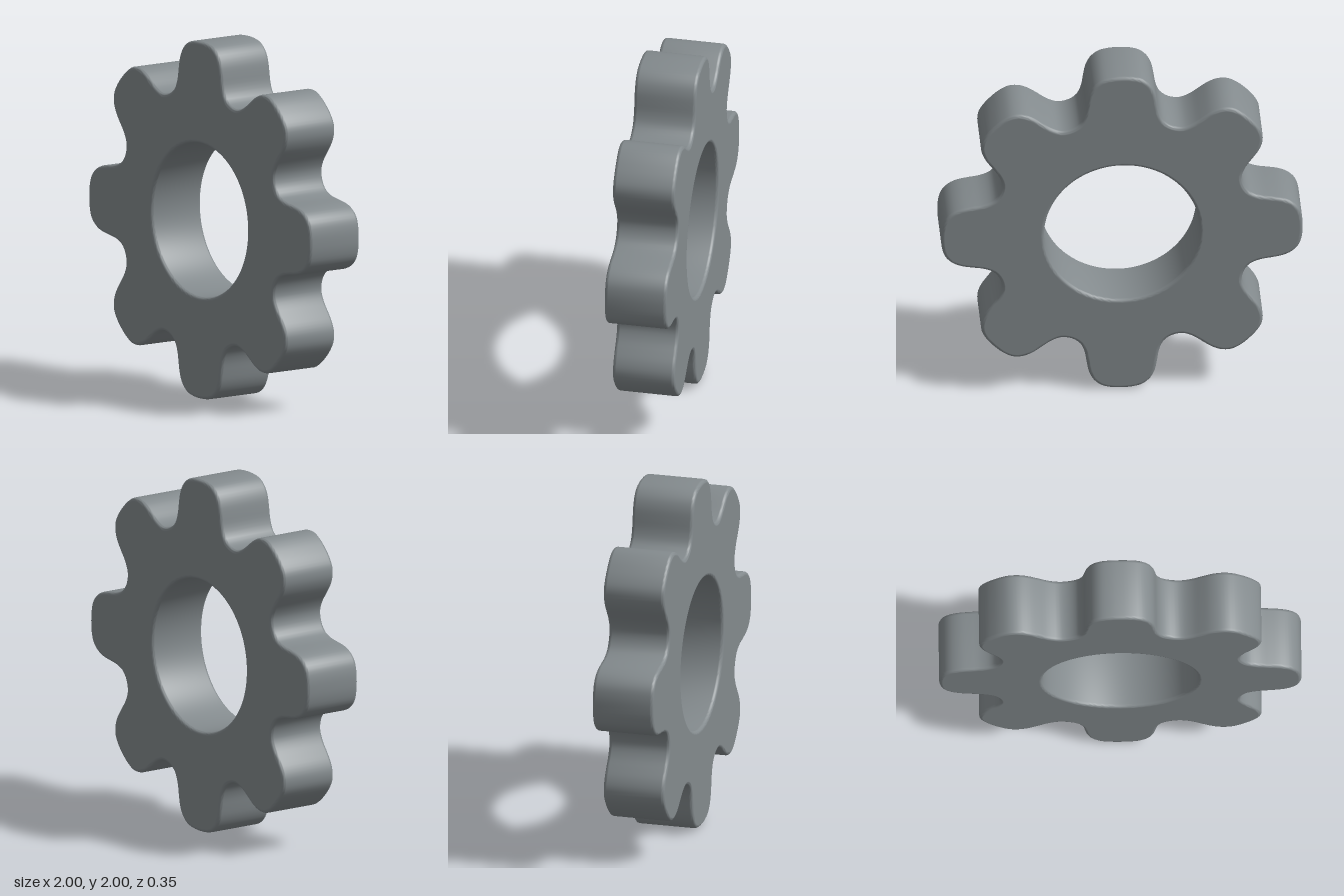
import * as THREE from 'three';
import { toCreasedNormals } from 'three/addons/utils/BufferGeometryUtils.js';

const TEETH = 8;
const THICKNESS = 0.35;
const BEVEL = 0.02;
const HOLE_RADIUS = 0.43;

// One side of a tooth, from the tip to just above the valley: [half width, distance from centre]
const HALF_TOOTH = [
  [0, 1], [0.06, 0.996], [0.115, 0.98], [0.158, 0.942], [0.183, 0.89],
  [0.195, 0.83], [0.206, 0.765], [0.231, 0.708],
];
const VALLEY_RADIUS = 0.729;

// Closed smooth outline, counter-clockwise: mirrored half tooth repeated around the centre
function gearOutline() {
  const half = Math.PI / TEETH;
  const tooth = [
    ...HALF_TOOTH.slice(1).reverse(),
    ...HALF_TOOTH.map(([w, h]) => [-w, h]),
    [-VALLEY_RADIUS * Math.sin(half), VALLEY_RADIUS * Math.cos(half)],
  ];
  const points = [];
  for (let i = 0; i < TEETH; i++) {
    const a = i * 2 * half;
    for (const [w, h] of tooth) {
      points.push(new THREE.Vector3(
        w * Math.cos(a) - h * Math.sin(a), w * Math.sin(a) + h * Math.cos(a), 0));
    }
  }
  const curve = new THREE.CatmullRomCurve3(points, true);
  return curve.getPoints(points.length * 3).slice(0, -1).map((p) => new THREE.Vector2(p.x, p.y));
}

export function createModel() {
  const group = new THREE.Group();
  group.name = 'gear';

  // Toothed ring with a round bore (hole runs clockwise so its wall faces inward)
  const shape = new THREE.Shape(gearOutline());
  shape.holes.push(new THREE.Path().absarc(0, 0, HOLE_RADIUS, 0, Math.PI * 2, true));

  const depth = THICKNESS - 2 * BEVEL;
  const extruded = new THREE.ExtrudeGeometry(shape, {
    depth, curveSegments: 96, bevelEnabled: true, bevelSegments: 5,
    bevelSize: BEVEL, bevelThickness: BEVEL, bevelOffset: -BEVEL,
  });
  extruded.translate(0, 1, -depth / 2);
  const geometry = toCreasedNormals(extruded, 0.7);

  // Keep the two flat faces perfectly flat in shading
  const { position, normal } = geometry.attributes;
  for (let i = 0; i < position.count; i++) {
    const z = position.getZ(i);
    if (Math.abs(z) > THICKNESS / 2 - 1e-4) normal.setXYZ(i, 0, 0, Math.sign(z));
  }

  const mesh = new THREE.Mesh(geometry, new THREE.MeshStandardMaterial({ color: 0x838a8d }));
  mesh.name = 'gearWheel';
  group.add(mesh);
  return group;
}
